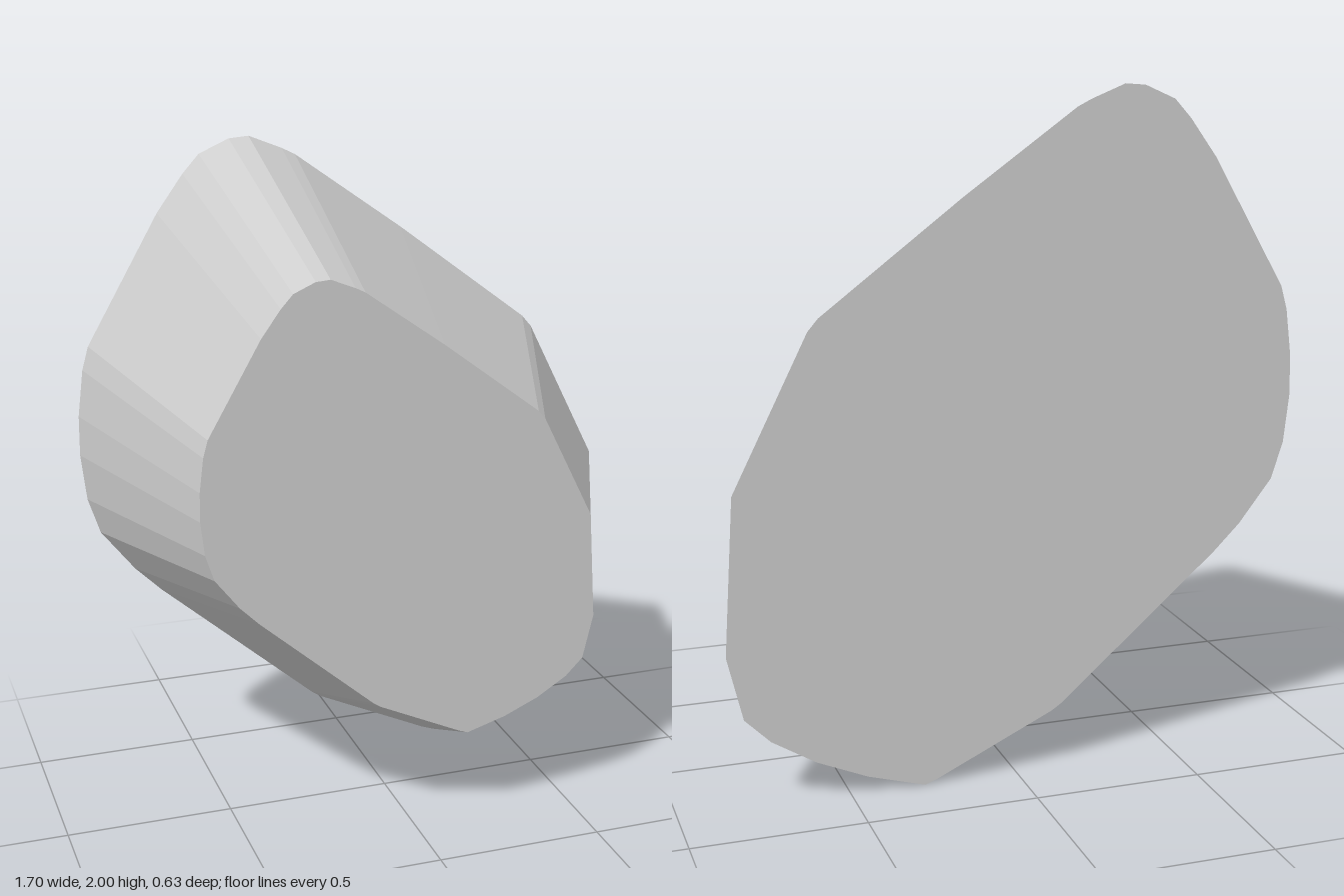
import * as THREE from 'three';

const DEPTH = 0.63;

// Back outline, counter-clockwise from the bottom tip
const OUTLINE = [
  [0.28, 0], [0.45, 0.05], [0.6, 0.115], [0.73, 0.195], [0.805, 0.27],
  [0.85, 0.46], [0.82, 0.92], [0.6, 1.36], [0.57, 1.395], [0.16, 1.705],
  [-0.17, 1.94], [-0.21, 1.96], [-0.31, 2], [-0.37, 1.995], [-0.46, 1.955],
  [-0.51, 1.9], [-0.59, 1.79], [-0.81, 1.41], [-0.83, 1.34], [-0.848, 1.2],
  [-0.85, 1.08], [-0.835, 0.94], [-0.8, 0.83], [-0.7, 0.7], [-0.62, 0.62],
  [-0.14, 0.2], [-0.11, 0.18], [0.24, 0.015],
];

export function createModel() {
  const group = new THREE.Group();
  group.name = 'taperedStone';

  const stoneGrey = new THREE.MeshStandardMaterial({ color: 0xcccccc });
  stoneGrey.name = 'stoneGrey';

  // Extrude the outline, then shrink the front end to taper the sides
  const shape = new THREE.Shape(OUTLINE.map(([x, y]) => new THREE.Vector2(x, y)));
  const geometry = new THREE.ExtrudeGeometry(shape, { depth: DEPTH, bevelEnabled: false, steps: 1 });
  geometry.translate(0, 0, -DEPTH / 2);
  const p = geometry.attributes.position;
  for (let i = 0; i < p.count; i++) {
    if (p.getZ(i) > 0) p.setXY(i, p.getX(i) * 0.7 - 0.044, p.getY(i) * 0.7 + 0.3);
  }
  geometry.computeVertexNormals();

  const stone = new THREE.Mesh(geometry, stoneGrey);
  stone.name = 'stoneBody';
  group.add(stone);
  return group;
}
